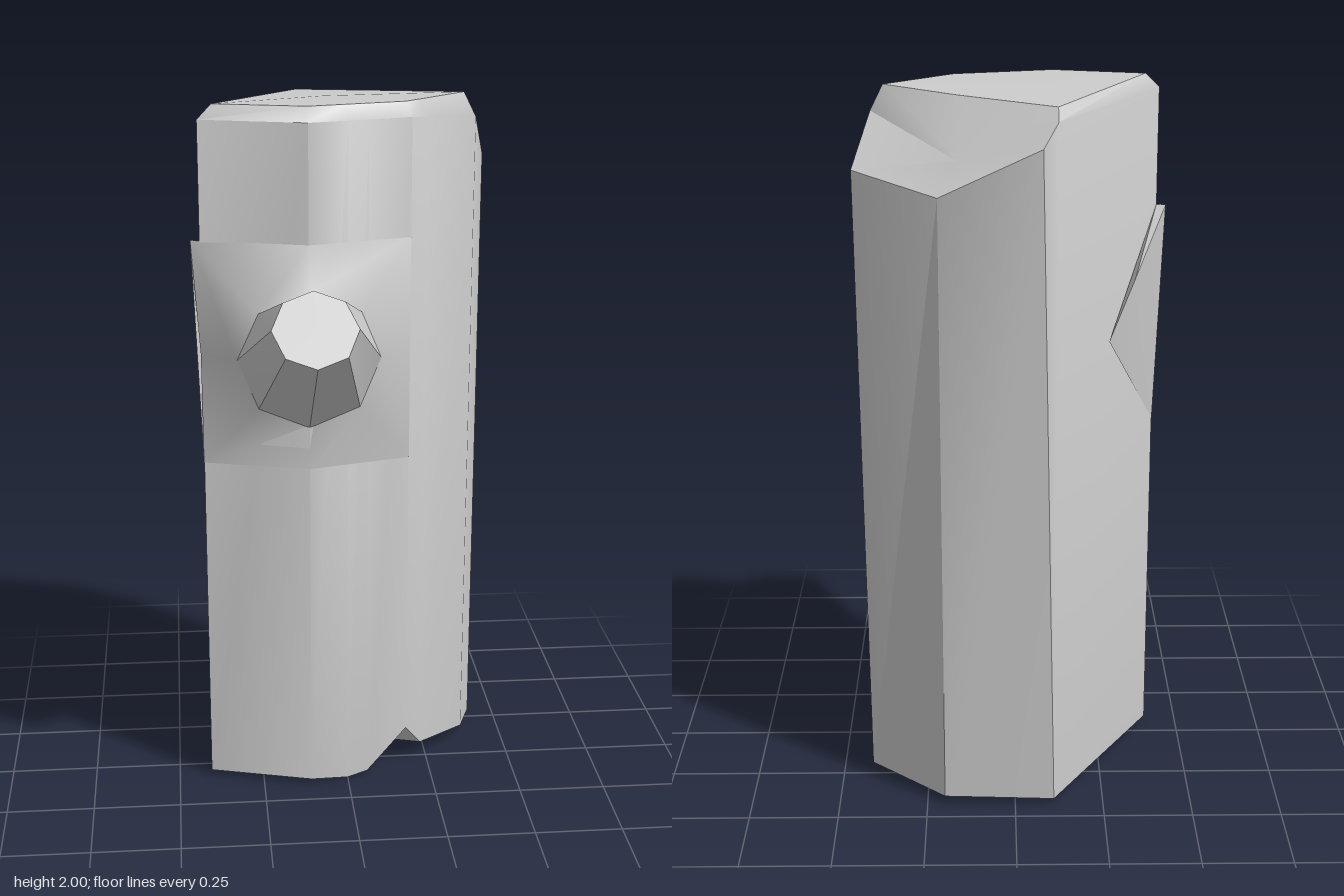
import * as THREE from 'three';
import { toCreasedNormals } from 'three/addons/utils/BufferGeometryUtils.js';

const v = (x, y, z) => new THREE.Vector3(x, y, z);

// Triangles between two loops of equal length, skipping collapsed ones
function band(lower, upper, closed = true) {
  const tris = [];
  const n = lower.length;
  for (let i = 0; i < (closed ? n : n - 1); i++) {
    const j = (i + 1) % n;
    if (lower[i] !== lower[j]) tris.push(lower[i], lower[j], upper[j]);
    if (upper[i] !== upper[j]) tris.push(lower[i], upper[j], upper[i]);
  }
  return tris;
}

// Triangles from a centre point to a closed loop
function fan(centre, loop) {
  return loop.flatMap((p, i) => [centre, p, loop[(i + 1) % loop.length]]);
}

function makeMesh(name, tris, crease, side = THREE.FrontSide) {
  const geometry = toCreasedNormals(new THREE.BufferGeometry().setFromPoints(tris), crease);
  const mesh = new THREE.Mesh(geometry, new THREE.MeshStandardMaterial({ color: 0xcccccc, side }));
  mesh.name = name;
  return mesh;
}

function makeTrunk() {
  // Ragged foot, running from the left front corner round by the front
  const G = v(-0.11, 0.015, -0.43);
  const foot = [
    v(-0.405, 0.015, 0.07), v(-0.11, 0.015, 0.155), v(0, 0, 0.123), v(0.06, 0.01, 0.105),
    v(0.18, 0.13, 0.07), v(0.23, 0.055, 0.021), v(0.375, 0.035, -0.12),
    v(0.415, 0.03, -0.24), v(0.2, 0.025, -0.43), G, G,
  ];

  // Upper edge of the bark, with extra points matching the notch in the foot
  const withNotch = (a, b, c, e) => [
    a, b, b.clone().lerp(c, 0.38), b.clone().lerp(c, 0.58), c, c.clone().lerp(e, 0.25), e,
  ];
  const frontRim = withNotch(
    v(-0.405, 1.96, 0.07), v(-0.11, 1.96, 0.155), v(0.18, 1.96, 0.07), v(0.385, 1.93, -0.13));
  const backRim = [
    v(0.43, 1.8, -0.285), v(0.2, 1.76, -0.45), v(-0.07, 1.89, -0.48), v(-0.11, 1.95, -0.43),
  ];
  const backCorner = backRim[3];

  // Flat top inside the bevel, and the chipped back corner
  const topFront = withNotch(
    v(-0.365, 2, 0.055), v(-0.11, 2, 0.125), v(0.165, 2, 0.05), v(0.35, 2, -0.13));
  const topMid = v(0.15, 1.99, -0.25);
  const topBack = v(-0.11, 1.98, -0.38);
  const valley = v(0.15, 1.84, -0.37);

  return makeMesh('trunk', [
    ...band(foot, [...frontRim, ...backRim]),
    ...band([backCorner, ...frontRim], [topBack, ...topFront], false),
    ...fan(v(-0.05, 2, -0.08), [...topFront, topMid, topBack]),
    ...fan(valley, [frontRim[6], ...backRim, topBack, topMid, topFront[6]]),
    ...fan(v(0, 0.005, -0.15), foot.slice(0, 10).reverse()),
  ], 0.6);
}

// Eight-sided ring starting at the top and turning to -x; zAt gives its depth
function ring(cy, rx, ry, zAt) {
  return Array.from({ length: 8 }, (_, i) => {
    const a = (i * Math.PI) / 4;
    return v(-0.11 - rx * Math.sin(a), cy + ry * Math.cos(a), zAt(Math.cos(a)));
  });
}

export function createModel() {
  const group = new THREE.Group();
  group.name = 'log';
  group.add(makeTrunk());

  // Sawn-off branch stub, tilted upward
  const base = ring(1.31, 0.2, 0.2, (c) => 0.152 + 0.06 * Math.max(0, c));
  const tip = ring(1.457, 0.117, 0.088, (c) => 0.403 - 0.073 * c);
  const stub = [...band(base, tip), ...fan(v(-0.11, 1.457, 0.403), tip)];
  group.add(makeMesh('branchStub', stub, 0.3));

  // Bark collar swelling from the trunk up to the stub
  const peak = v(-0.43, 1.63, 0.06);
  const lowLeft = v(-0.406, 0.99, 0.073);
  const collar = [
    v(-0.11, 1.63, 0.158), peak, v(-0.408, 1.31, 0.073), lowLeft,
    v(-0.11, 0.99, 0.158), v(0.18, 0.99, 0.073), v(0.18, 1.31, 0.073), v(0.18, 1.63, 0.073),
  ];
  group.add(makeMesh('barkCollar', band(collar, base), 0.6, THREE.DoubleSide));

  // Thin bark flap lifting off the side of the trunk
  const bend = v(-0.335, 1.46, -0.12);
  const end = v(-0.262, 1.3, -0.185);
  const wall = v(-0.405, 1.63, 0.07);
  group.add(makeMesh('barkFlap', [
    lowLeft, peak, bend, lowLeft, bend, end,
    wall, bend, peak, wall, end, bend,
  ], 0.6, THREE.DoubleSide));

  return group;
}
